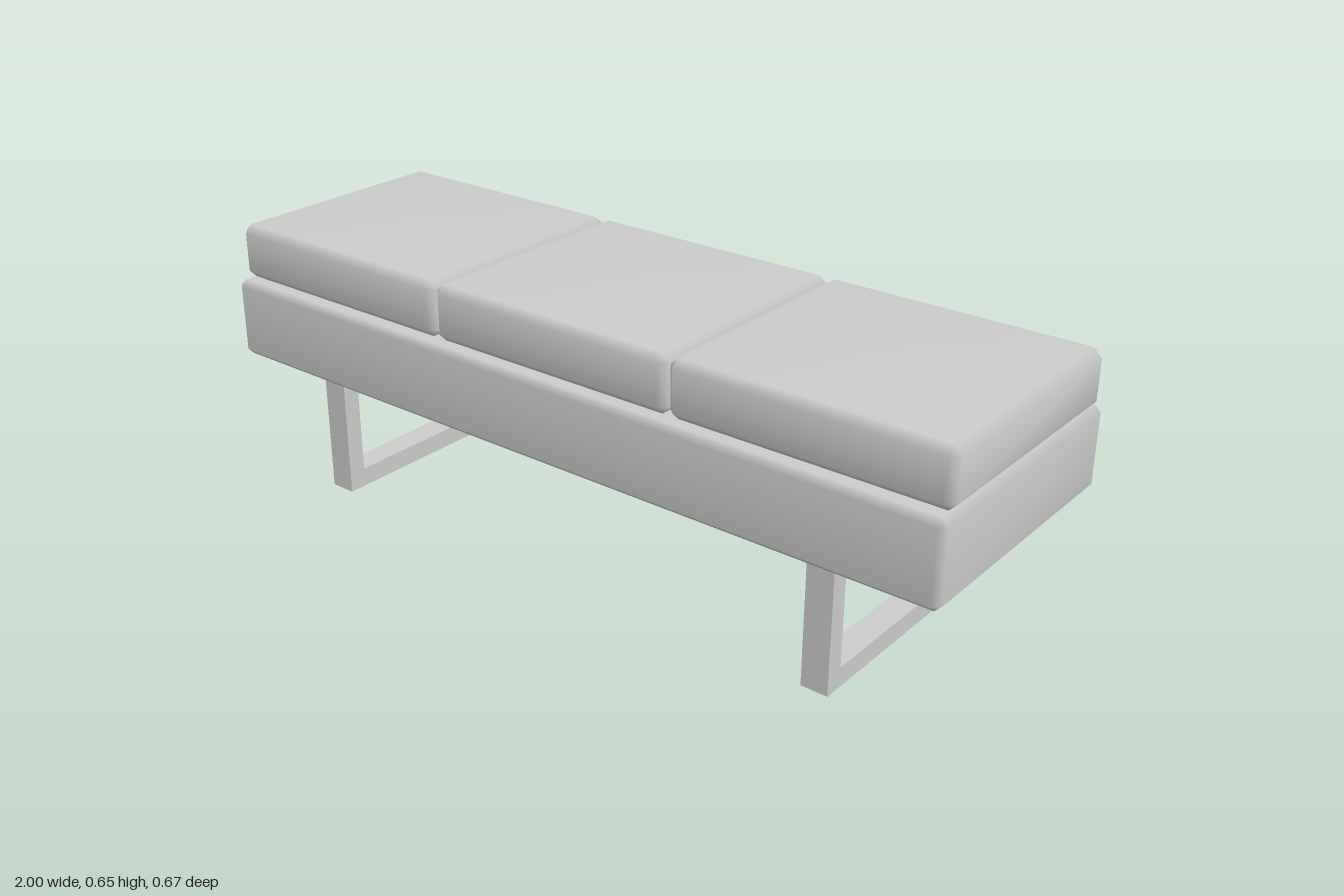
import * as THREE from 'three';
import { mergeVertices } from 'three/addons/utils/BufferGeometryUtils.js';
import { ConvexGeometry } from 'three/addons/geometries/ConvexGeometry.js';

const material = new THREE.MeshStandardMaterial({ color: 0xcccccc, side: THREE.DoubleSide });

// Box with chamfered edges and soft, area-weighted normals
function softBox(w, h, d, bevel) {
  const points = [];
  const half = [w / 2, h / 2, d / 2];
  for (const sx of [-1, 1]) for (const sy of [-1, 1]) for (const sz of [-1, 1]) {
    for (let axis = 0; axis < 3; axis++) {
      const p = half.map((v, i) => v - (i === axis ? 0 : bevel));
      points.push(new THREE.Vector3(p[0] * sx, p[1] * sy, p[2] * sz));
    }
  }
  let geo = new ConvexGeometry(points);
  geo.deleteAttribute('normal');
  geo = mergeVertices(geo);
  geo.computeVertexNormals();
  return geo;
}

// Remove the downward faces that lie at the lowest level
function openBottom(geometry) {
  const geo = geometry.index ? geometry.toNonIndexed() : geometry;
  geo.computeBoundingBox();
  const limit = geo.boundingBox.min.y + 0.001;
  const pos = geo.attributes.position;
  const keep = [];
  for (let i = 0; i < pos.count; i += 3) {
    const flat = [0, 1, 2].every((k) => pos.getY(i + k) < limit);
    if (!flat) keep.push(i, i + 1, i + 2);
  }
  geo.setIndex(keep);
  return geo;
}

function add(group, name, geometry, x, y, z) {
  const mesh = new THREE.Mesh(geometry, material);
  mesh.name = name;
  mesh.position.set(x, y, z);
  group.add(mesh);
}

export function createModel() {
  const bench = new THREE.Group();
  bench.name = 'bench';

  // Hollow seat base, open underneath
  add(bench, 'seatBase', openBottom(softBox(2, 0.2, 0.67, 0.016)), 0, 0.411, 0);

  // Three cushions side by side
  const cushionWidth = 2 / 3;
  const cushion = softBox(cushionWidth, 0.137, 0.618, 0.02);
  for (let i = -1; i <= 1; i++) {
    add(bench, 'cushion', cushion, i * cushionWidth, 0.5795, 0);
  }

  // U-shaped leg frames made of hollow section, open underneath
  const outer = 0.29, inner = 0.245, bar = 0.048, top = 0.32, depth = 0.066;
  const profile = new THREE.Shape([
    [-outer, 0], [outer, 0], [outer, top], [inner, top],
    [inner, bar], [-inner, bar], [-inner, top], [-outer, top],
  ].map(([a, b]) => new THREE.Vector2(a, b)));
  const frame = new THREE.ExtrudeGeometry(profile, { depth, bevelEnabled: false });
  frame.translate(0, 0, -depth / 2).rotateY(Math.PI / 2);
  const legFrame = openBottom(frame);
  for (const side of [-1, 1]) add(bench, 'legFrame', legFrame, side * 0.714, 0, 0);

  return bench;
}
